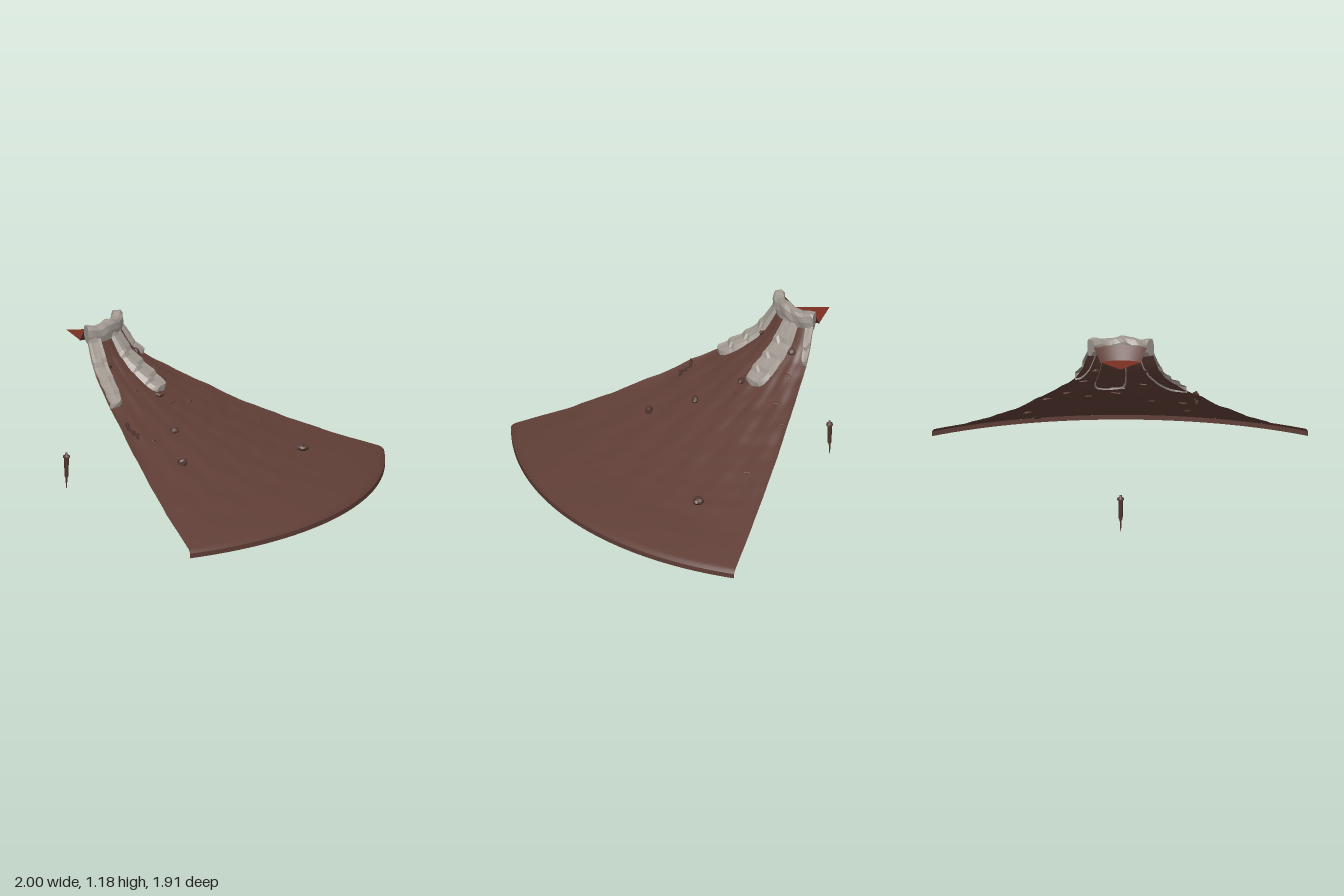
import * as THREE from 'three';

const mat = (name, color) => {
  const m = new THREE.MeshStandardMaterial({ color, side: THREE.DoubleSide });
  m.name = name;
  return m;
};

// The wedge is about a fifth of a cone around this axis
const RAD = Math.PI / 180, EDGE = 72.4, SWEEP = EDGE * RAD;
const AX = -0.98, AZ = -0.935, R = 1.98;
const { smoothstep } = THREE.MathUtils;
const polar = (r, a, y) => new THREE.Vector3(AX + r * Math.cos(a), y, AZ + r * Math.sin(a));

// Slope profile along the cut edges: radius, height
const PROFILE = [[0.3, 1.13], [0.34, 1.07], [0.4, 0.965], [0.47, 0.892], [0.55, 0.838], [0.67, 0.773],
  [0.85, 0.685], [1, 0.6], [1.25, 0.487], [1.6, 0.343], [1.9, 0.245], [1.96, 0.225], [1.98, 0.205]];

function slope(r, a) {
  let i = 0;
  while (i < PROFILE.length - 2 && r > PROFILE[i + 1][0]) i++;
  const [r0, y0] = PROFILE[i], [r1, y1] = PROFILE[i + 1];
  const y = y0 + (y1 - y0) * (r - r0) / (r1 - r0);
  // broad hollow between the two cut edges
  const across = Math.max(0, Math.sin(Math.PI * a / SWEEP)) ** 0.6;
  const hollow = 0.055 * across * smoothstep(r, 0.45, 0.85) * smoothstep(R - r, 0.02, 0.72);
  const ripples = Math.sin(r * 13 + a * 19) * Math.sin(a * 13 - r * 7) * 0.005
    + Math.sin(r * 29 - a * 37) * Math.sin(a * 23 + r * 17) * 0.002;
  return y - hollow + smoothstep(R - r, 0, 0.6) * ripples;
}

// Grid surface from a rule fn(u, v); faces point along dv x du
function sheet(fn, nu, nv, faceted = false) {
  const pos = [], idx = [];
  for (let i = 0; i <= nu; i++)
    for (let j = 0; j <= nv; j++) pos.push(...fn(i / nu, j / nv).toArray());
  for (let i = 0; i < nu; i++)
    for (let j = 0; j < nv; j++) {
      const a = i * (nv + 1) + j, b = a + nv + 1;
      idx.push(a, a + 1, b, a + 1, b + 1, b);
    }
  let g = new THREE.BufferGeometry();
  g.setAttribute('position', new THREE.Float32BufferAttribute(pos, 3));
  g.setIndex(idx);
  if (faceted) g = g.toNonIndexed();
  g.computeVertexNormals();
  return g;
}

// Lumpy faceted rock
function rockGeometry(seed) {
  const g = new THREE.IcosahedronGeometry(0.5, 1), p = g.attributes.position;
  for (let i = 0; i < p.count; i++) {
    const x = p.getX(i), y = p.getY(i), z = p.getZ(i);
    const k = 1 + 0.16 * Math.sin(x * 7 + seed) * Math.cos(z * 6 + seed * 2) + 0.08 * Math.sin(y * 9 + seed);
    p.setXYZ(i, x * k, y * k, z * k);
  }
  g.computeVertexNormals();
  return g;
}

export function createModel() {
  const soil = mat('brown soil', 0x5f3e36);
  const stone = mat('pale ash stone', 0xa09890);
  const rock = mat('dark rock', 0x533730);
  const lava = mat('lava red', 0x7a3022);
  const root = new THREE.Group();
  root.name = 'volcanoWedge';
  const add = (name, geo, m, parent = root) => {
    const mesh = new THREE.Mesh(geo, m);
    mesh.name = name;
    parent.add(mesh);
    return mesh;
  };

  // Mountain side and the upright band along its foot
  add('slope', sheet((u, v) => {
    const r = 0.3 + (R - 0.3) * u, a = v * SWEEP;
    return polar(r, a, slope(r, a));
  }, 110, 64), soil);
  add('footBand', sheet((u, v) => polar(R, v * SWEEP, 0.205 - u * 0.03), 1, 48), soil);

  // Crater: lava floor and inner wall
  add('lavaFloor', sheet((u, v) => polar(u * 0.215, v * SWEEP, 1.05), 1, 16), lava);
  add('craterWall', sheet((u, v) => polar(0.21 + 0.085 * u, v * SWEEP, 1.045 + 0.1 * u), 3, 20), soil);

  // Blocky stone rim, closed at both ends
  const rimPts = [[0.285, 1.09], [0.28, 1.14], [0.292, 1.167], [0.334, 1.168], [0.348, 1.15], [0.352, 1.11],
    [0.343, 1.055], [0.31, 1.06], [0.285, 1.09]];
  const NV = 18;
  add('craterRim', sheet((u, v) => {
    const i = Math.round(u * (rimPts.length - 1)), j = Math.round(v * NV);
    if (j === 0 || j === NV) return polar(0.317, v * SWEEP, 1.11);
    const a = (j - 1) / (NV - 2) * SWEEP;
    const [r, y] = rimPts[i], k = i % (rimPts.length - 1);
    const block = Math.sin(j * 0.8) * 0.008 + Math.sin(j * 1.9 + k) * 0.003;
    return polar(r + 0.004 * Math.sin(j * 1.3 + k * 2), a, y + block);
  }, rimPts.length - 1, NV, true), stone);

  // Stone tongues running down from the rim, stepped and rounded at the end
  // [start and end angle at the top, same at the foot, foot radius, steps]
  [[17, 42, 21, 39, 0.665, 4], [55, EDGE, 63, EDGE, 0.7, 4], [0, 10, 0, 5, 0.48, 2]].forEach(
    ([a0, a1, b0, b1, end, steps], n) => {
      const atStart = a0 === 0, atEnd = a1 === EDGE;
      const mid = atStart ? 0 : atEnd ? 1 : 0.5;
      add('stoneTongue' + (n + 1), sheet((u, v) => {
        const w = mid + (v - mid) * Math.sqrt(Math.max(0, 1 - u ** 12));
        const lo = a0 + (b0 - a0) * u, hi = a1 + (b1 - a1) * u;
        const r = 0.33 + (end - 0.33) * u, a = (lo + (hi - lo) * w) * RAD;
        const border = (v === 0 && !atStart) || (v === 1 && !atEnd) || u === 1;
        const step = (u * steps + 0.12 * Math.sin(v * 5 + n) + 1) % 1;
        const lift = border ? -0.012 : 0.014 + 0.014 * step;
        return polar(r + (border ? 0 : lift * 0.5), a, slope(r, a) + lift);
      }, 20, 6, true), stone);
    });

  // Boulders: x, z, width, height, depth
  [[0.455, -0.53, 0.08, 0.055, 0.068], [-0.37, -0.25, 0.062, 0.045, 0.044], [-0.348, 0.043, 0.07, 0.05, 0.05],
    [-0.743, -0.567, 0.034, 0.034, 0.03], [-0.44, -0.53, 0.06, 0.04, 0.04], [-0.56, -0.82, 0.05, 0.045, 0.05]
  ].forEach(([x, z, w, h, d], i) => {
    const b = add('boulder' + (i + 1), rockGeometry(i * 1.7 + 1), rock);
    const r = Math.hypot(x - AX, z - AZ), a = Math.atan2(z - AZ, x - AX);
    b.position.set(x, slope(r, a) + h * 0.2, z);
    b.scale.set(w, h, d);
  });

  // Thin ledges breaking through the slope: radius, angle, length
  [[0.55, 12, 0.07], [0.72, 9, 0.08], [0.74, 34, 0.08], [0.8, 22, 0.06], [0.6, 50, 0.05],
    [0.95, 60, 0.07], [1.2, 8, 0.08], [0.85, 4, 0.07]].forEach(([r, deg, len], i) => {
    const a = deg * RAD;
    const ledge = add('ledge' + (i + 1), rockGeometry(i + 3), soil);
    ledge.position.copy(polar(r, a, slope(r, a) - 0.002));
    ledge.rotation.y = -a + 0.3 * Math.sin(i * 2.3);
    ledge.scale.set(0.028, 0.012, len);
  });

  // Broken stone posts near the cut edge: radius, angle, height, lean
  [[0.865, 69, 0.06, 0.25], [0.9, 68, 0.035, -0.3], [0.93, 67, 0.045, 0.15]].forEach(([r, deg, h, lean], i) => {
    const a = deg * RAD;
    const post = add('stonePost' + (i + 1), new THREE.CylinderGeometry(0.007, 0.012, h, 5), rock);
    post.position.copy(polar(r, a, slope(r, a) + h * 0.3));
    post.rotation.z = lean;
    const cap = add('postCap' + (i + 1), new THREE.BoxGeometry(0.034, 0.009, 0.02), rock, post);
    cap.position.y = h * 0.25;
  });

  // Narrow hanging spike on the axis
  const spikePts = [[0, 0], [0.004, 0.03], [0.006, 0.075], [0.013, 0.09], [0.015, 0.205], [0.022, 0.21],
    [0.021, 0.222], [0.009, 0.228], [0.007, 0.24], [0, 0.24]];
  const spike = add('hangingSpike', new THREE.LatheGeometry(spikePts.map(p => new THREE.Vector2(...p)), 8), rock);
  spike.position.set(AX, 0, AZ);

  return root;
}
